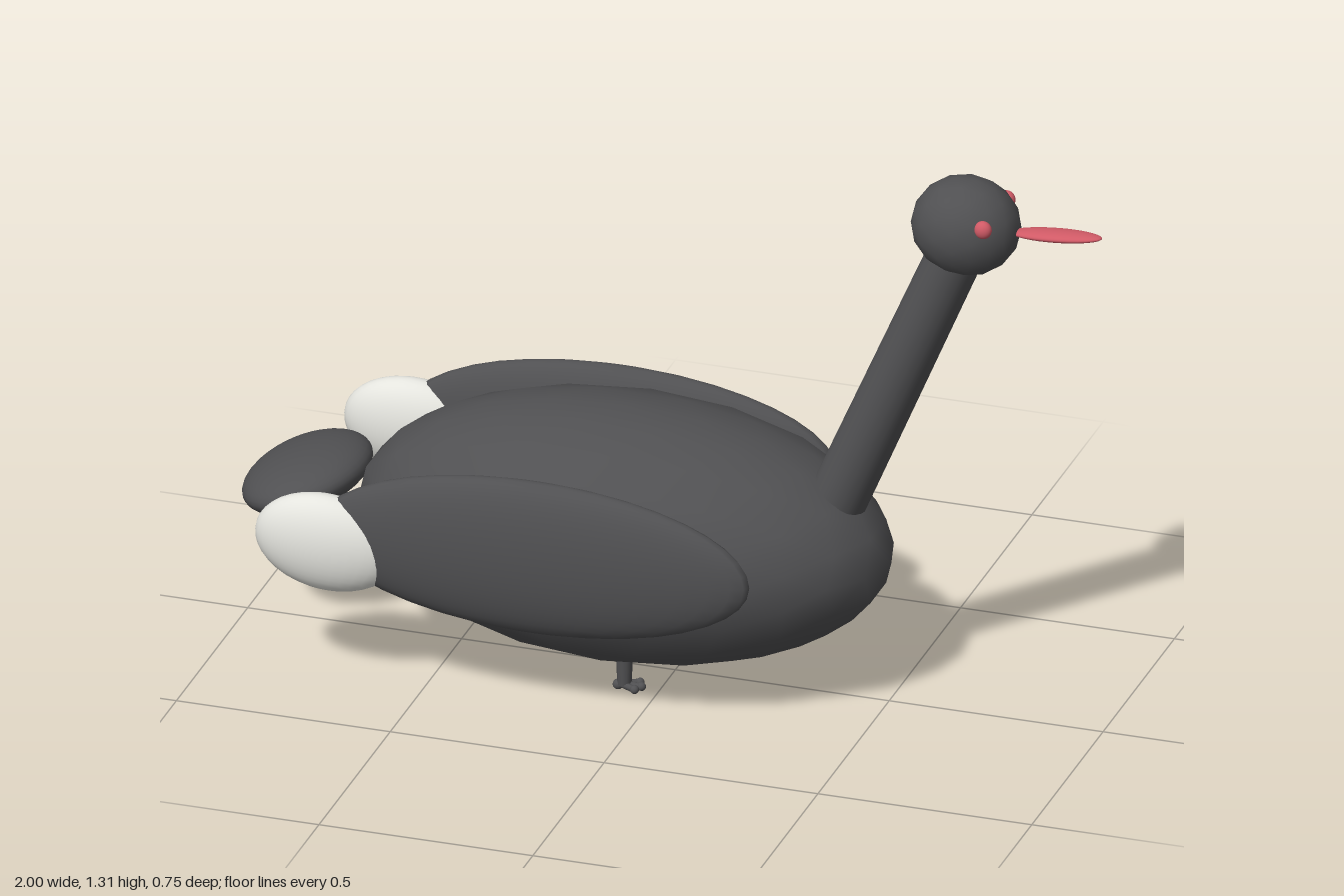
import * as THREE from 'three';

export function createModel() {
  const model = new THREE.Group();
  model.name = 'swan';

  const mat = (name, color) => {
    const m = new THREE.MeshStandardMaterial({ color });
    m.name = name;
    return m;
  };
  const plumage = mat('charcoal plumage', 0x505052);
  const white = mat('white feather tips', 0xe4e4de);
  const red = mat('red beak and eyes', 0xd05a66);

  const faceted = (detail) => new THREE.IcosahedronGeometry(1, detail);
  const smooth = new THREE.SphereGeometry(1, 32, 20);

  // Ellipsoid: centre, half sizes, tilt about z
  function ellipsoid(name, geometry, material, centre, size, tilt = 0) {
    const mesh = new THREE.Mesh(geometry, material);
    mesh.name = name;
    mesh.position.set(...centre);
    mesh.scale.set(...size);
    mesh.rotation.z = tilt;
    model.add(mesh);
    return mesh;
  }

  // Round rod between two points
  function rod(name, from, to, r0, r1, sides) {
    const a = new THREE.Vector3(...from), b = new THREE.Vector3(...to);
    const dir = b.clone().sub(a);
    const mesh = new THREE.Mesh(new THREE.CylinderGeometry(r1, r0, dir.length(), sides), plumage);
    mesh.name = name;
    mesh.position.copy(a).add(b).multiplyScalar(0.5);
    mesh.quaternion.setFromUnitVectors(new THREE.Vector3(0, 1, 0), dir.normalize());
    model.add(mesh);
  }

  // Body, tail, neck and head
  ellipsoid('body', faceted(3), plumage, [-0.115, 0.34, 0], [0.62, 0.297, 0.34]);
  ellipsoid('tail', smooth, plumage, [-0.86, 0.356, 0], [0.146, 0.063, 0.185], 0.3);
  rod('neck', [0.365, 0.445, 0], [0.675, 1.17, 0], 0.067, 0.063, 20);
  ellipsoid('head', faceted(2), plumage, [0.68, 1.2, 0], [0.125, 0.115, 0.108]);
  ellipsoid('beak', smooth, red, [0.89, 1.206, 0], [0.108, 0.012, 0.03], 0.07);

  for (const side of [1, -1]) {
    const label = side > 0 ? 'near' : 'far';
    ellipsoid(label + 'Eye', smooth, red, [0.747, 1.235, side * 0.083], [0.02, 0.021, 0.016]);

    // Wing with its white tip
    ellipsoid(label + 'Wing', smooth, plumage, [-0.228, 0.386, side * 0.312], [0.505, 0.185, 0.063]);
    ellipsoid(label + 'WingTip', smooth, white, [-0.71, 0.35, side * 0.312], [0.168, 0.115, 0.063], -0.08);

    // Short leg and three-toed foot
    const z = side * 0.132;
    rod(label + 'Leg', [-0.075, 0.014, z], [-0.075, 0.11, z], 0.016, 0.02, 10);
    for (const spread of [-0.02, 0, 0.02]) {
      const tip = [spread ? -0.045 : -0.035, 0.014, z + spread];
      rod(label + 'Toe', [-0.085, 0.014, z], tip, 0.008, 0.008, 8);
      ellipsoid(label + 'ToeTip', smooth, plumage, tip, [0.01, 0.01, 0.01]);
    }
    ellipsoid(label + 'Heel', smooth, plumage, [-0.09, 0.012, z], [0.012, 0.012, 0.012]);
  }

  return model;
}
